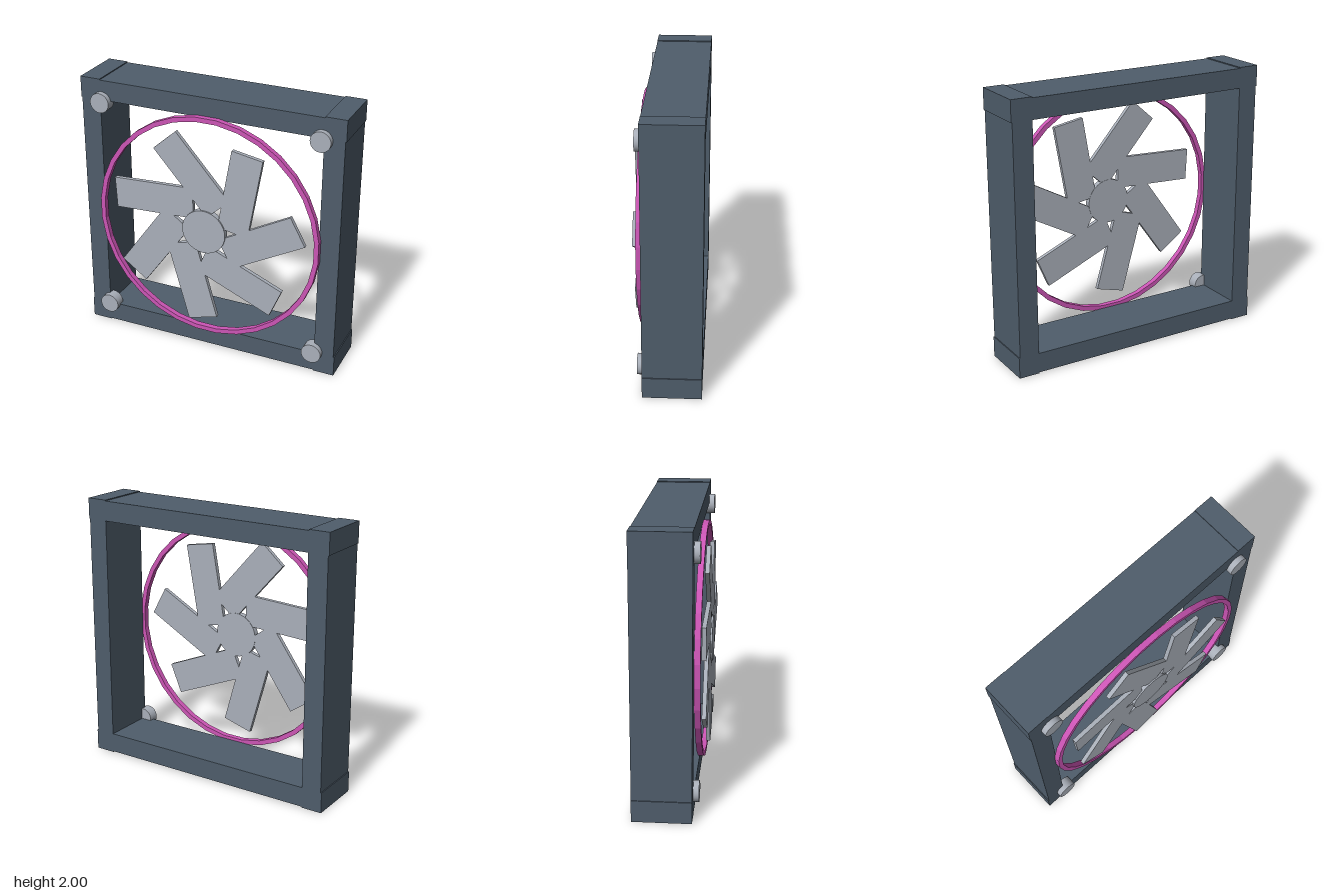
import * as THREE from 'three';

export function createModel() {
  const model = new THREE.Group();
  model.name = 'caseFan';

  const frameMat = new THREE.MeshStandardMaterial({ color: 0x4f5d6b });
  frameMat.name = 'slate';
  const metalMat = new THREE.MeshStandardMaterial({ color: 0xaab0ba });
  metalMat.name = 'lightGrey';
  const ringMat = new THREE.MeshStandardMaterial({ color: 0xcc55b5, flatShading: true });
  ringMat.name = 'magenta';

  const add = (name, geometry, material, x, y, z, parent = model) => {
    const mesh = new THREE.Mesh(geometry, material);
    mesh.name = name;
    mesh.position.set(x, y, z);
    parent.add(mesh);
    return mesh;
  };

  // Disc with its axis along z, spanning back to front
  const disc = (name, r, back, front, sides, x, y) => {
    const g = new THREE.CylinderGeometry(r, r, front - back, sides).rotateX(Math.PI / 2);
    return add(name, g, metalMat, x, y, (front + back) / 2);
  };

  // Square frame: four bars and slightly proud corner blocks
  const back = -0.248, front = 0.165;
  const depth = front - back, midZ = (front + back) / 2;
  const inner = 0.845, barOuter = 0.993;
  const barW = barOuter - inner, barMid = (barOuter + inner) / 2;
  const cornerW = 1 - inner, cornerMid = (1 + inner) / 2;
  for (const s of [-1, 1]) {
    add(s > 0 ? 'topBar' : 'bottomBar', new THREE.BoxGeometry(2 * inner, barW, depth),
      frameMat, 0, 1 + s * barMid, midZ);
    add(s > 0 ? 'leftBar' : 'rightBar', new THREE.BoxGeometry(barW, 2 * inner, depth),
      frameMat, s * barMid, 1, midZ);
    for (const t of [-1, 1]) {
      add('cornerBlock', new THREE.BoxGeometry(cornerW, cornerW, depth),
        frameMat, s * cornerMid, 1 + t * cornerMid, midZ);
      disc('cornerScrew', 0.074, 0.125, 0.205, 24, s * 0.833, 1 + t * 0.833);
    }
  }

  // Faceted light ring
  const polygon = (r) => Array.from({ length: 32 }, (_, i) => {
    const a = (i + 0.5) * Math.PI / 16;
    return new THREE.Vector2(r * Math.cos(a), r * Math.sin(a));
  });
  const ringShape = new THREE.Shape(polygon(0.861));
  ringShape.holes.push(new THREE.Path(polygon(0.826)));
  add('lightRing', new THREE.ExtrudeGeometry(ringShape, { depth: 0.042, bevelEnabled: false }),
    ringMat, 0, 1, front);

  // Rotor: seven slanted blades around the hub
  const rotor = new THREE.Group();
  rotor.name = 'rotor';
  rotor.position.set(0, 1, 0.221);
  model.add(rotor);
  const bladeGeo = new THREE.BoxGeometry(0.62, 0.235, 0.031);
  for (let i = 0; i < 7; i++) {
    const a = i * Math.PI * 2 / 7;
    const blade = add('blade', bladeGeo, metalMat, 0.439 * Math.cos(a), 0.439 * Math.sin(a), 0, rotor);
    blade.rotation.z = a + 0.5;
  }
  disc('hub', 0.168, 0.203, 0.247, 32, 0, 1);

  return model;
}
